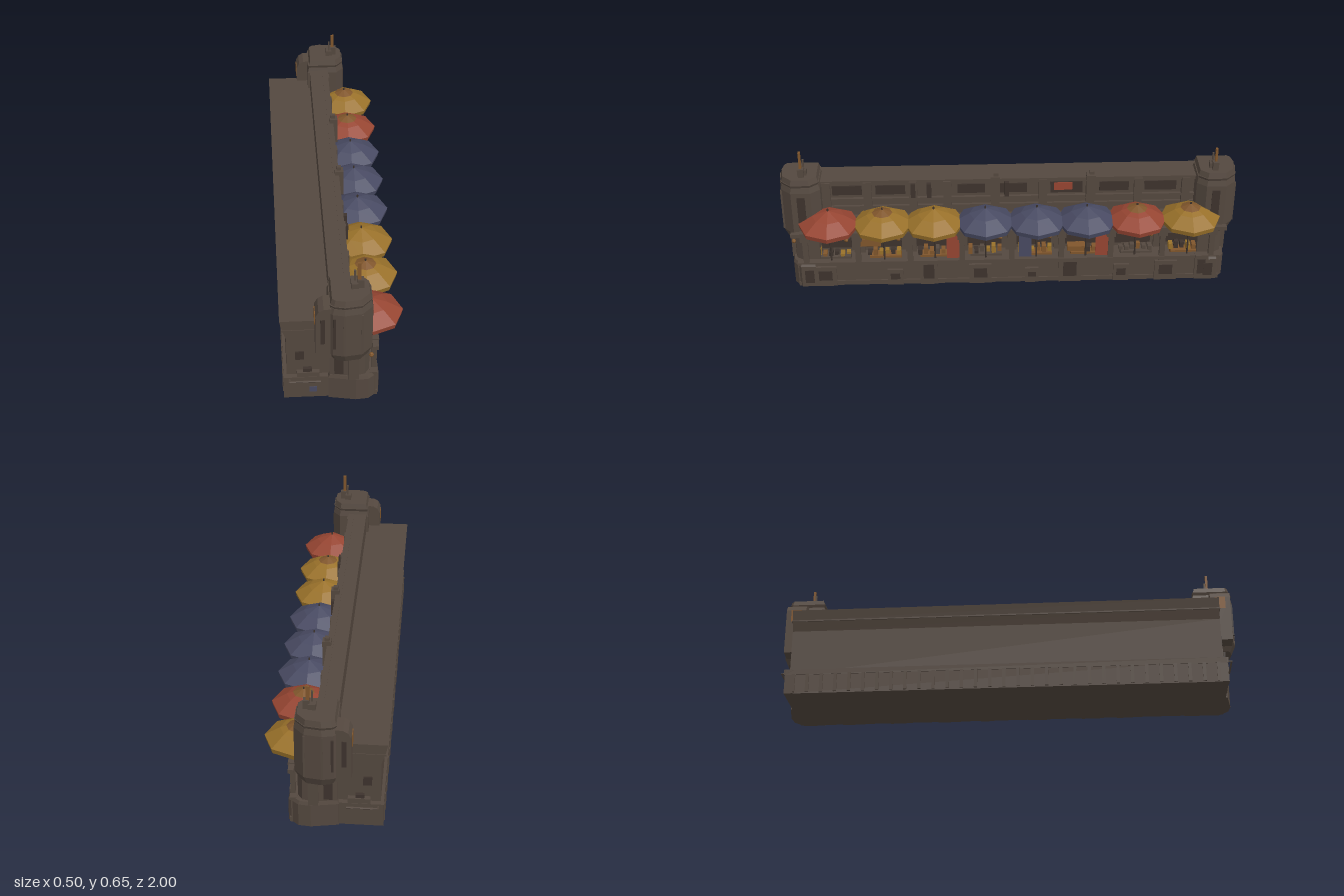
import * as THREE from 'three';

const mat = (name, color) => {
  const m = new THREE.MeshStandardMaterial({ color, side: THREE.DoubleSide, flatShading: true });
  m.name = name;
  return m;
};

export function createModel() {
  const root = new THREE.Group();
  root.name = 'marketHall';
  const stone = mat('brown stone', 0x54483f);
  const dark = mat('dark stone', 0x3d332d);
  const yellow = mat('ochre cloth', 0x99712a);
  const red = mat('red cloth', 0x964532);
  const blue = mat('blue cloth', 0x484a62);
  const rust = mat('rust', 0x80562c);

  let seed = 7;
  const rnd = () => (seed = (seed * 16807) % 2147483647) / 2147483647;

  const add = (name, geo, m) => {
    const mesh = new THREE.Mesh(geo, m);
    mesh.name = name;
    root.add(mesh);
    return mesh;
  };
  // Box given by its limits on each axis
  const box = (name, m, x0, x1, y0, y1, z0, z1) => {
    const g = new THREE.BoxGeometry(x1 - x0, y1 - y0, Math.abs(z1 - z0));
    g.translate((x0 + x1) / 2, (y0 + y1) / 2, (z0 + z1) / 2);
    return add(name, g, m);
  };
  // Side profile (x, y) swept along z
  const sweep = (name, m, pts, z0, z1) => {
    const shape = new THREE.Shape(pts.map(p => new THREE.Vector2(...p)));
    const g = new THREE.ExtrudeGeometry(shape, { depth: Math.abs(z1 - z0), bevelEnabled: false });
    g.translate(0, 0, Math.min(z0, z1));
    return add(name, g, m);
  };
  // Floor plan (x, z) raised from y0 to y1, with a scale for the bottom and top; s picks the end
  const prism = (name, m, plan, s, y0, y1, kBottom = 1, kTop = 1) => {
    const shape = new THREE.Shape(plan.map(([x, z]) => new THREE.Vector2(x, -z * s)));
    const g = new THREE.ExtrudeGeometry(shape, { depth: y1 - y0, bevelEnabled: false });
    g.rotateX(-Math.PI / 2);
    const p = g.attributes.position, cx = 0.03, cz = 0.91 * s;
    for (let i = 0; i < p.count; i++) {
      const k = p.getY(i) > (y1 - y0) / 2 ? kTop : kBottom;
      p.setXYZ(i, cx + (p.getX(i) - cx) * k, p.getY(i) + y0, cz + (p.getZ(i) - cz) * k);
    }
    g.computeVertexNormals();
    return add(name, g, m);
  };
  // Round bar between two points
  const bar = (name, m, a, b, r) => {
    const path = new THREE.LineCurve3(new THREE.Vector3(...a), new THREE.Vector3(...b));
    return add(name, new THREE.TubeGeometry(path, 1, r, 6), m);
  };

  // Main hall with flared roof edge and raised parapet
  sweep('hall', stone, [[-0.225, 0.09], [-0.225, 0.295], [-0.24, 0.34], [-0.25, 0.385], [-0.05, 0.385],
    [-0.05, 0.48], [0.02, 0.48], [0.02, 0.29], [0.01, 0.27], [0.01, 0.09]].reverse(), -0.92, 0.92);
  box('flareBand', stone, -0.243, -0.1, 0.335, 0.341, -0.923, 0.923);

  // Plinth, floor and back ribs
  box('plinth', stone, -0.235, 0.11, 0, 0.1, -0.93, 0.93);
  box('plinthCap', stone, -0.238, -0.2, 0.085, 0.11, -0.935, 0.935);
  for (let i = 0; i < 31; i++) {
    const z = -0.9 + i * 0.06;
    box('plinthRib', stone, -0.242, -0.23, 0.005, 0.088, z - 0.007, z + 0.007);
  }

  // Parapet fascia: frames, dividers and inset panels
  for (const [y0, y1, x] of [[0.463, 0.482, 0.036], [0.378, 0.39, 0.034], [0.335, 0.35, 0.032], [0.285, 0.3, 0.036]])
    box('fasciaBand', stone, 0.01, x, y0, y1, -0.86, 0.86);
  for (const z of [-0.78, -0.57, -0.36, -0.15, 0.06, 0.27, 0.42, 0.62, 0.8])
    box('fasciaDivider', stone, 0.01, 0.042, 0.285, 0.475, z - 0.018, z + 0.018);
  for (const [z, w, m] of [[-0.67, 0.07, dark], [-0.465, 0.065, dark], [-0.02, 0.06, dark],
    [0.165, 0.06, dark], [0.52, 0.065, dark], [0.71, 0.065, dark]])
    box('fasciaPanel', m, 0.016, 0.025, 0.405, 0.45, z - w, z + w);
  box('fasciaSign', dark, 0.016, 0.025, 0.4, 0.455, -0.325, -0.185);
  box('signPatch', red, 0.022, 0.029, 0.415, 0.452, -0.28, -0.2);
  for (const z of [-0.36, 0.06]) {
    box('parapetPost', stone, 0.018, 0.055, 0.38, 0.5, z - 0.02, z + 0.02);
    box('parapetPostTip', stone, 0.025, 0.045, 0.5, 0.515, z - 0.014, z + 0.006);
  }
  for (const z of [0.01, 0.35, 0.42])
    box('parapetBracket', dark, 0.03, 0.052, 0.4, 0.47, z - 0.01, z + 0.01);

  // Terrace wall with uneven blocks
  box('terraceWall', stone, 0.1, 0.13, 0, 0.118, -0.94, 0.94);
  box('terraceRail', stone, 0.105, 0.136, 0.108, 0.122, -0.94, 0.94);
  box('terraceFoot', stone, 0.1, 0.136, 0, 0.022, -0.94, 0.94);
  for (const [z, w, h] of [[0.82, 0.05, 0.1], [0.51, 0.035, 0.08], [0.36, 0.04, 0.125], [0.13, 0.05, 0.1],
    [-0.1, 0.03, 0.075], [-0.27, 0.05, 0.125], [-0.5, 0.035, 0.085], [-0.7, 0.05, 0.1], [-0.86, 0.03, 0.125]]) {
    box('terraceBlock', stone, 0.12, 0.142, 0, h, z - w, z + w);
    box('blockInset', dark, 0.14, 0.1435, 0.03, h - 0.02, z - w * 0.6, z + w * 0.6);
  }

  // Beam, posts and rafters over the stalls
  box('stallBeam', stone, 0.115, 0.138, 0.256, 0.274, -0.96, 0.96);
  for (const z of [-0.9, -0.68, -0.45, -0.23, -0.01, 0.21, 0.44, 0.67, 0.9]) {
    box('stallPost', stone, 0.116, 0.135, 0.1, 0.26, z - 0.012, z + 0.012);
    box('postHead', stone, 0.112, 0.142, 0.235, 0.279, z - 0.02, z + 0.02);
    box('rafter', stone, 0.0, 0.12, 0.258, 0.272, z - 0.008, z + 0.008);
    box('pilaster', stone, 0.0, 0.028, 0.1, 0.28, z - 0.025, z + 0.025);
    add('lantern', new THREE.SphereGeometry(0.01, 6, 4), rust).position.set(0.11, 0.225, z + 0.05);
  }

  // Stalls: back shelves, counters and goods
  for (let i = 0; i < 8; i++) {
    const z = -0.785 + i * 0.2245;
    box('backNiche', dark, 0.008, 0.016, 0.12, 0.25, z - 0.08, z + 0.08);
    box('shelf', stone, 0.01, 0.045, 0.185, 0.192, z - 0.075, z + 0.075);
    box('counter', i % 3 === 1 ? stone : rust, 0.05, 0.095, 0.1, 0.125, z - 0.08, z + 0.06);
    for (let j = 0; j < 6; j++) {
      const gz = z - 0.07 + j * 0.026, h = 0.012 + rnd() * 0.025;
      box('goods', [yellow, rust, stone, yellow, dark, rust][Math.floor(rnd() * 6)],
        0.055, 0.075 + rnd() * 0.018, 0.125, 0.125 + h, gz - 0.009, gz + 0.009);
      box('shelfGoods', [stone, dark, rust, stone][Math.floor(rnd() * 4)],
        0.016, 0.035, 0.192, 0.2 + rnd() * 0.03, gz - 0.008, gz + 0.008);
    }
  }
  box('hangingCrate', rust, 0.06, 0.1, 0.18, 0.218, 0.57, 0.67);
  box('hangingCrate', rust, 0.06, 0.1, 0.135, 0.16, -0.34, -0.26);
  for (const [z, m] of [[0.25, red], [-0.41, red], [-0.07, blue]])
    box('banner', m, 0.122, 0.128, 0.13, 0.25, z - 0.028, z + 0.028);

  // Eight-sided parasols
  const zs = [0.79, 0.555, 0.33, 0.105, -0.12, -0.34, -0.56, -0.795];
  const cloth = [red, yellow, yellow, blue, blue, blue, red, yellow];
  const canopy = new THREE.LatheGeometry([[0.128, 0.296], [0.133, 0.318], [0.07, 0.357], [0.0, 0.384]]
    .map(p => new THREE.Vector2(...p)), 8);
  const patch = new THREE.LatheGeometry([[0.045, 0.3685], [0, 0.3865]].map(p => new THREE.Vector2(...p)), 8);
  zs.forEach((z, i) => {
    add('parasolCanopy', canopy, cloth[i]).position.set(0.115, 0, z);
    if (i === 1 || i === 6 || i === 7) add('parasolPatch', patch, rust).position.set(0.115, 0, z);
    bar('parasolPole', dark, [0.115, 0.1, z], [0.115, 0.392, z], 0.004);
    for (let k = 0; k < 8; k++) {
      const a = k * Math.PI / 4;
      bar('parasolRib', dark, [0.115, 0.372, z], [0.115 + 0.128 * Math.cos(a), 0.312, z + 0.128 * Math.sin(a)], 0.0025);
    }
    bar('parasolStrut', dark, [0.115, 0.272, z], [0.185, 0.298, z], 0.004);
  });

  // End towers
  const body = [[-0.06, 0.82], [-0.06, 0.975], [-0.045, 0.99], [0.0, 1.0], [0.07, 0.99], [0.113, 0.945], [0.113, 0.86], [0.08, 0.82]];
  const foot = [[-0.06, 0.86], [-0.06, 0.945], [0.05, 0.965], [0.1, 0.96], [0.142, 0.925], [0.142, 0.86]];
  const neck = [[-0.055, 0.84], [-0.055, 0.94], [0.04, 0.955], [0.085, 0.945], [0.105, 0.915], [0.105, 0.84]];
  for (const s of [1, -1]) {
    const sb = (name, m, x0, x1, y0, y1, z0, z1) => box(name, m, x0, x1, y0, y1, z0 * s, z1 * s);
    prism('towerFoot', stone, foot, s, 0, 0.105);
    prism('towerFootCap', stone, foot, s, 0.105, 0.12, 1, 0.92);
    prism('towerNeck', stone, neck, s, 0.11, 0.25);
    prism('towerCorbel', stone, body, s, 0.225, 0.265, 0.8, 1);
    prism('towerBody', stone, body, s, 0.265, 0.47);
    prism('towerShoulder', stone, body, s, 0.47, 0.495, 1, 0.93);
    prism('towerCapRim', stone, body, s, 0.492, 0.508, 0.9, 0.97);
    prism('towerCap', stone, body, s, 0.508, 0.532, 0.93, 0.86);
    // Rounded side bay
    sweep('towerSideBay', stone, [[-0.112, 0.25], [-0.05, 0.245], [-0.05, 0.492], [-0.08, 0.49],
      [-0.1, 0.478], [-0.112, 0.455]], 0.895 * s, 0.982 * s);
    sb('bayPanel', rust, -0.115, -0.11, 0.4, 0.455, 0.915, 0.96);
    sb('bayGroove', dark, -0.093, -0.075, 0.32, 0.44, 0.98, 0.985);
    // Pilasters and slots on the outer faces
    sb('towerSlot', dark, -0.044, -0.034, 0.3, 0.45, 0.985, 0.996);
    sb('towerPilaster', stone, -0.004, 0.004, 0.27, 0.465, 0.985, 1.0);
    sb('towerPilaster', stone, 0.066, 0.074, 0.27, 0.465, 0.975, 0.994);
    sb('towerSlot', dark, 0.11, 0.116, 0.3, 0.45, 0.885, 0.92);
    sb('neckPanel', dark, -0.035, 0.0, 0.13, 0.225, 0.94, 0.952);
    sb('neckButtress', stone, 0.02, 0.06, 0.11, 0.245, 0.94, 0.968);
    sb('footPanel', dark, 0.138, 0.1445, 0.02, 0.085, 0.87, 0.91);
    // Rooftop gear and masts
    sb('roofBox', stone, 0.03, 0.06, 0.525, 0.556, 0.875, 0.915);
    sb('roofBox', stone, 0.055, 0.08, 0.525, 0.57, 0.885, 0.91);
    sb('mast', rust, 0.055, 0.069, 0.53, s > 0 ? 0.648 : 0.632, 0.894, 0.904);
    sb('shortMast', stone, 0.042, 0.05, 0.53, 0.603, 0.884, 0.892);
    // End plinth, its rail and clutter
    sb('endPlinth', stone, -0.238, -0.06, 0, 0.1, 0.9, 0.938);
    sb('endPlinthFrame', stone, -0.238, -0.06, 0.085, 0.11, 0.9, 0.942);
    sb('endVent', stone, -0.185, -0.095, 0.105, 0.132, 0.9, 0.94);
    sb('endVentTop', dark, -0.16, -0.125, 0.132, 0.148, 0.915, 0.935);
    sb('endHatch', dark, -0.19, -0.155, 0.19, 0.23, 0.918, 0.926);
    bar('endRail', stone, [-0.215, 0.1, 0.957 * s], [-0.09, 0.1, 0.957 * s], 0.004);
    bar('endRailArm', stone, [-0.215, 0.1, 0.93 * s], [-0.215, 0.1, 0.96 * s], 0.004);
  }
  box('paintMark', blue, -0.135, -0.105, 0.03, 0.055, 0.936, 0.941);

  return root;
}
